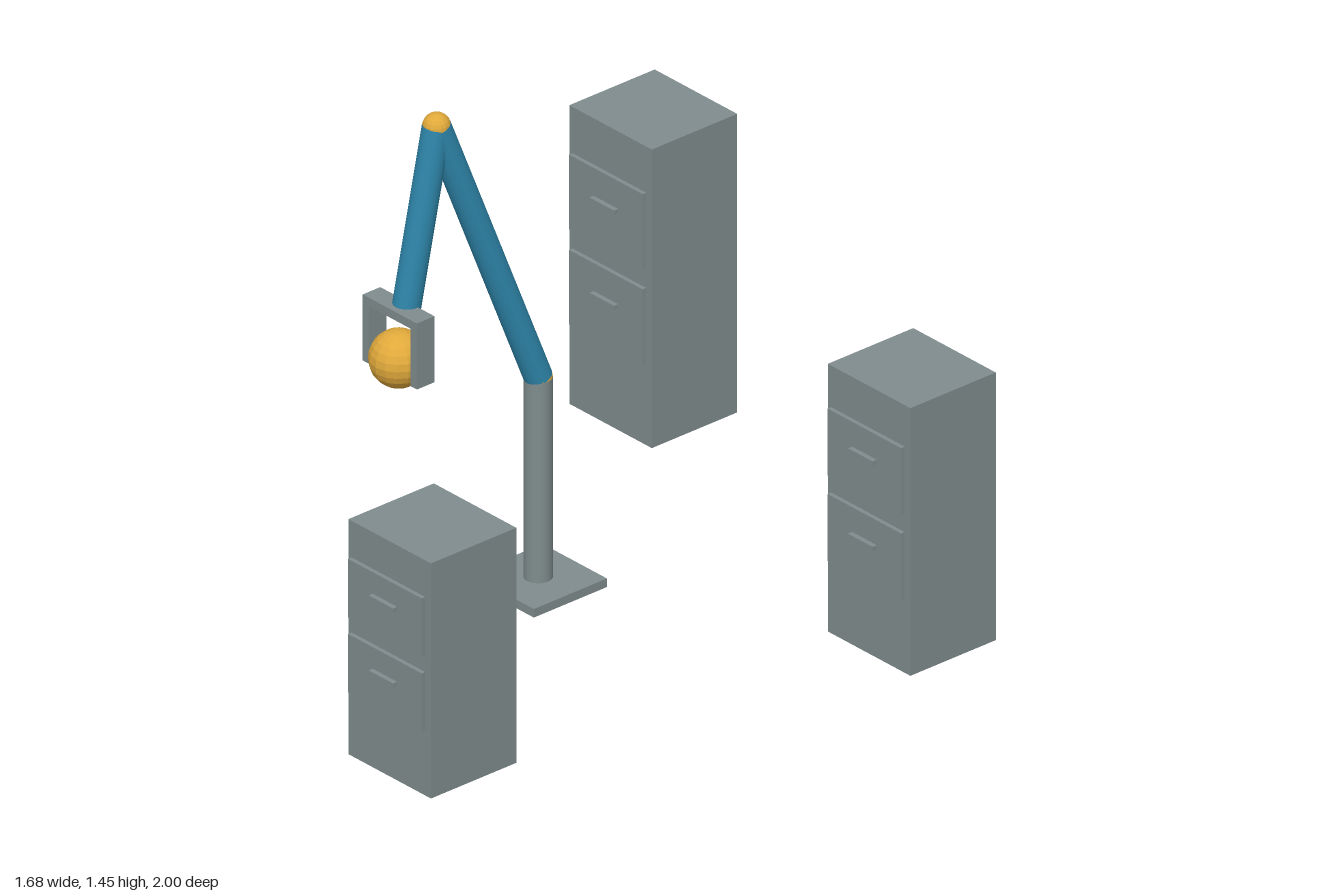
import * as THREE from 'three';

const material = (name, color, flatShading = false) => {
  const m = new THREE.MeshStandardMaterial({ color, flatShading });
  m.name = name;
  return m;
};

export function createModel() {
  const grey = material('grey metal', 0x7f8c8d);
  const blue = material('blue arm paint', 0x2e86ab);
  const gold = material('gold', 0xe0a93b, true);

  const root = new THREE.Group();
  root.name = 'robotArmWithCabinets';

  const add = (parent, name, geometry, mat, x, y, z) => {
    const mesh = new THREE.Mesh(geometry, mat);
    mesh.name = name;
    mesh.position.set(x, y, z);
    parent.add(mesh);
    return mesh;
  };
  const box = (parent, name, w, h, d, x, y, z) =>
    add(parent, name, new THREE.BoxGeometry(w, h, d), grey, x, y, z);
  const ball = (parent, name, r, p) =>
    add(parent, name, new THREE.SphereGeometry(r, 16, 12), gold, p.x, p.y, p.z);

  // Straight round link between two joints
  const link = (parent, name, a, b, r, mat) => {
    const dir = b.clone().sub(a);
    const mid = a.clone().add(b).multiplyScalar(0.5);
    const mesh = add(parent, name, new THREE.CylinderGeometry(r, r, dir.length(), 24), mat, mid.x, mid.y, mid.z);
    mesh.quaternion.setFromUnitVectors(new THREE.Vector3(0, 1, 0), dir.normalize());
  };

  // Filing cabinet: origin at floor level on the front face
  const cabinet = (x, front, h) => {
    const g = new THREE.Group();
    g.name = 'cabinet';
    g.position.set(x, 0, front);
    box(g, 'cabinetBody', 0.32, h, 0.292, 0, h / 2, -0.146);
    for (const y of [0.405 * h, 0.724 * h]) {
      box(g, 'drawerFront', 0.285, 0.25 * h, 0.012, 0, y, 0.01);
      box(g, 'drawerHandle', 0.095, 0.013, 0.014, 0, y + 0.024 * h, 0.023);
    }
    root.add(g);
  };
  cabinet(-0.682, -0.708, 0.87);
  cabinet(0.68, -0.391, 0.78);
  cabinet(0.364, 0.97, 0.685);

  // Arm: base, column and two links with round joints
  const arm = new THREE.Group();
  arm.name = 'robotArm';
  root.add(arm);
  const foot = new THREE.Vector3(-0.16, 0.025, 0);
  const shoulder = new THREE.Vector3(-0.16, 0.608, 0);
  const elbow = new THREE.Vector3(-0.225, 1.414, 0.29);
  const wrist = new THREE.Vector3(-0.247, 0.903, 0.375);
  box(arm, 'basePlate', 0.25, 0.025, 0.25, -0.16, 0.0125, 0);
  link(arm, 'column', foot, shoulder, 0.038, grey);
  link(arm, 'upperArm', shoulder, elbow, 0.038, blue);
  link(arm, 'forearm', elbow, wrist, 0.038, blue);
  ball(arm, 'shoulderJoint', 0.038, shoulder);
  ball(arm, 'elbowJoint', 0.038, elbow);
  ball(arm, 'wristJoint', 0.021, wrist);

  // Gripper: crossbar and two fingers holding a ball
  const gripper = new THREE.Group();
  gripper.name = 'gripper';
  gripper.position.set(-0.25, 0, 0.398);
  arm.add(gripper);
  box(gripper, 'gripperBar', 0.21, 0.025, 0.06, 0, 0.908, 0);
  for (const s of [-1, 1]) box(gripper, 'gripperFinger', 0.025, 0.17, 0.06, s * 0.0925, 0.813, 0);
  ball(gripper, 'heldBall', 0.079, new THREE.Vector3(0, 0.767, 0));

  return root;
}
